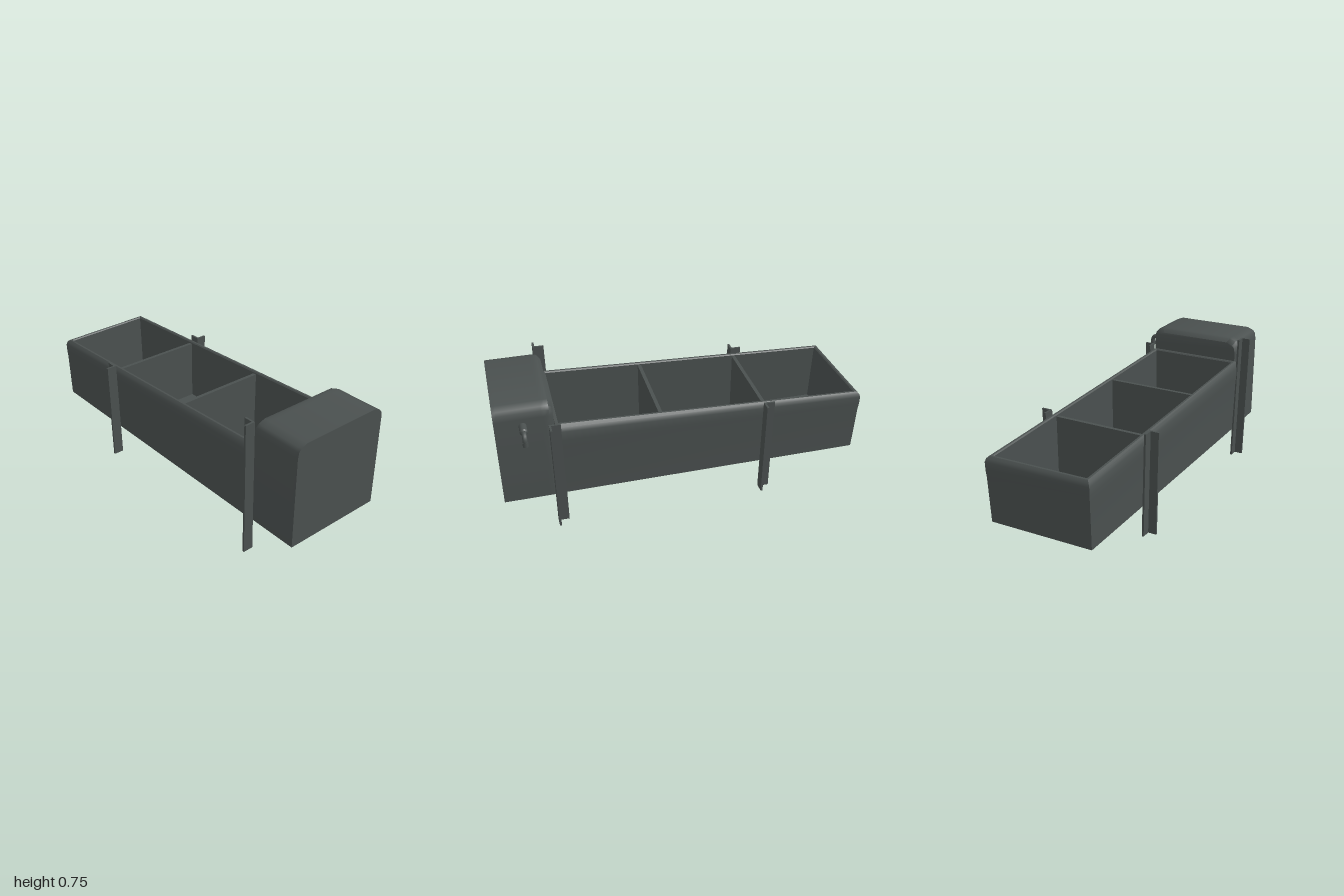
import * as THREE from 'three';
import { toCreasedNormals } from 'three/addons/utils/BufferGeometryUtils.js';

const lerp = THREE.MathUtils.lerp;
const BASE = 0.175;
// height of the sloping rim at a given z
const rimY = (z) => lerp(0.535, 0.612, (z + 1) / 1.712);

// One four-cornered ring of the trough: inset from the outline, height fraction, bulge at the front
function ring(inset, f, bulge = 0) {
  const back = 0.012 * (1 - f);
  return [
    [0.268 - inset + bulge, 0.712 - inset],
    [0.268 - inset, -1 + inset + back],
    [-0.312 + inset, -0.985 + inset + back],
    [-0.312 + inset - bulge, 0.712 - inset],
  ].map(([x, z]) => [x, lerp(BASE, rimY(z), f), z]);
}

// Hollow body skinned through rings: up the outside, over the rolled rim, down the inside
function troughGeometry() {
  const rings = [
    ring(0.004, 0), ring(0.002, 0.7, 0.006), ring(0, 0.8, 0.008), ring(0, 0.92, 0.008),
    ring(0.006, 0.97, 0.004), ring(0.017, 1), ring(0.028, 1), ring(0.034, 0.985), ring(0.034, 0.06),
  ];
  const pos = [];
  const quad = (a, b, c, d) => pos.push(...a, ...b, ...c, ...a, ...c, ...d);
  for (let k = 0; k < rings.length - 1; k++) {
    for (let i = 0; i < 4; i++) {
      const j = (i + 1) % 4;
      quad(rings[k][i], rings[k][j], rings[k + 1][j], rings[k + 1][i]);
    }
  }
  const bottom = rings[0];
  quad(bottom[3], bottom[2], bottom[1], bottom[0]);
  quad(...rings[rings.length - 1]);
  const g = new THREE.BufferGeometry();
  g.setAttribute('position', new THREE.Float32BufferAttribute(pos, 3));
  return toCreasedNormals(g, 0.7);
}

// Tank with rounded upper corners and a softened back edge
function tankGeometry() {
  const shape = new THREE.Shape([
    [-0.305, BASE], [0.267, BASE], [0.267, 0.68], [0.262, 0.713], [0.248, 0.73], [0.21, 0.745],
    [-0.248, 0.745], [-0.286, 0.73], [-0.299, 0.713], [-0.304, 0.68],
  ].map(([x, y]) => new THREE.Vector2(x, y)));
  const g = new THREE.ExtrudeGeometry(shape, { depth: 0.3, steps: 15, bevelEnabled: false });
  g.translate(0, 0, 0.7);
  const p = g.attributes.position;
  for (let i = 0; i < p.count; i++) {
    const t = Math.max(0, (0.74 - p.getZ(i)) / 0.04);
    const pull = 0.025 * (1 - Math.sqrt(Math.max(0, 1 - t * t)));
    p.setX(i, p.getX(i) - Math.sign(p.getX(i)) * pull * 0.6);
    if (p.getY(i) > 0.5) p.setY(i, p.getY(i) - pull);
  }
  return toCreasedNormals(g, 0.7);
}

// Angle-iron leg, leaning slightly outwards towards the top
function legGeometry(side, inner, z, height, lean) {
  const w = 0.057, t = 0.011;
  const shape = new THREE.Shape([
    [0, -0.028], [w, -0.028], [w, -0.028 + t], [t, -0.028 + t], [t, 0.032], [0, 0.032],
  ].map(([x, y]) => new THREE.Vector2(side * x, y)));
  const g = new THREE.ExtrudeGeometry(shape, { depth: height, bevelEnabled: false });
  g.rotateX(-Math.PI / 2);
  const p = g.attributes.position;
  for (let i = 0; i < p.count; i++) {
    p.setX(i, p.getX(i) + inner + side * lean * p.getY(i) / height);
    p.setZ(i, p.getZ(i) + z);
  }
  g.computeVertexNormals();
  return g;
}

export function createModel() {
  const model = new THREE.Group();
  const metal = new THREE.MeshStandardMaterial({ color: 0x4a504f });
  metal.name = 'darkMetal';
  const add = (name, geometry, parent = model) => {
    const mesh = new THREE.Mesh(geometry, metal);
    mesh.name = name;
    parent.add(mesh);
    return mesh;
  };

  add('trough', troughGeometry());
  add('tank', tankGeometry());

  // Two partitions just below the rim
  for (const z of [0.138, -0.435]) {
    const top = rimY(z) - 0.012;
    add('divider', new THREE.BoxGeometry(0.53, top - 0.18, 0.02))
      .position.set(-0.022, (top + 0.18) / 2, z);
  }

  // Four legs
  add('frontRightLeg', legGeometry(-1, -0.305, 0.702, 0.755, 0.012));
  add('frontLeftLeg', legGeometry(1, 0.268, 0.702, 0.63, 0.009));
  add('backRightLeg', legGeometry(-1, -0.305, -0.455, 0.58, 0.011));
  add('backLeftLeg', legGeometry(1, 0.268, -0.45, 0.572, 0.009));

  // Tap: stub pipe, bent spout and outlet collar
  const tap = new THREE.Group();
  tap.name = 'tap';
  tap.position.z = 0.858;
  model.add(tap);
  const stub = add('stubPipe', new THREE.CylinderGeometry(0.02, 0.02, 0.065, 16), tap);
  stub.rotation.z = Math.PI / 2;
  stub.position.set(0.288, 0.64, 0);
  const neck = add('neck', new THREE.CylinderGeometry(0.02, 0.013, 0.008, 16), tap);
  neck.rotation.z = Math.PI / 2;
  neck.position.set(0.3245, 0.639, 0);
  const bend = new THREE.CatmullRomCurve3([
    [0.31, 0.639], [0.335, 0.638], [0.35, 0.63], [0.357, 0.616], [0.357, 0.59],
  ].map(([x, y]) => new THREE.Vector3(x, y, 0)));
  add('spout', new THREE.TubeGeometry(bend, 16, 0.0125, 12), tap);
  add('outletCollar', new THREE.CylinderGeometry(0.0145, 0.0145, 0.024, 16), tap)
    .position.set(0.357, 0.591, 0);

  return model;
}
